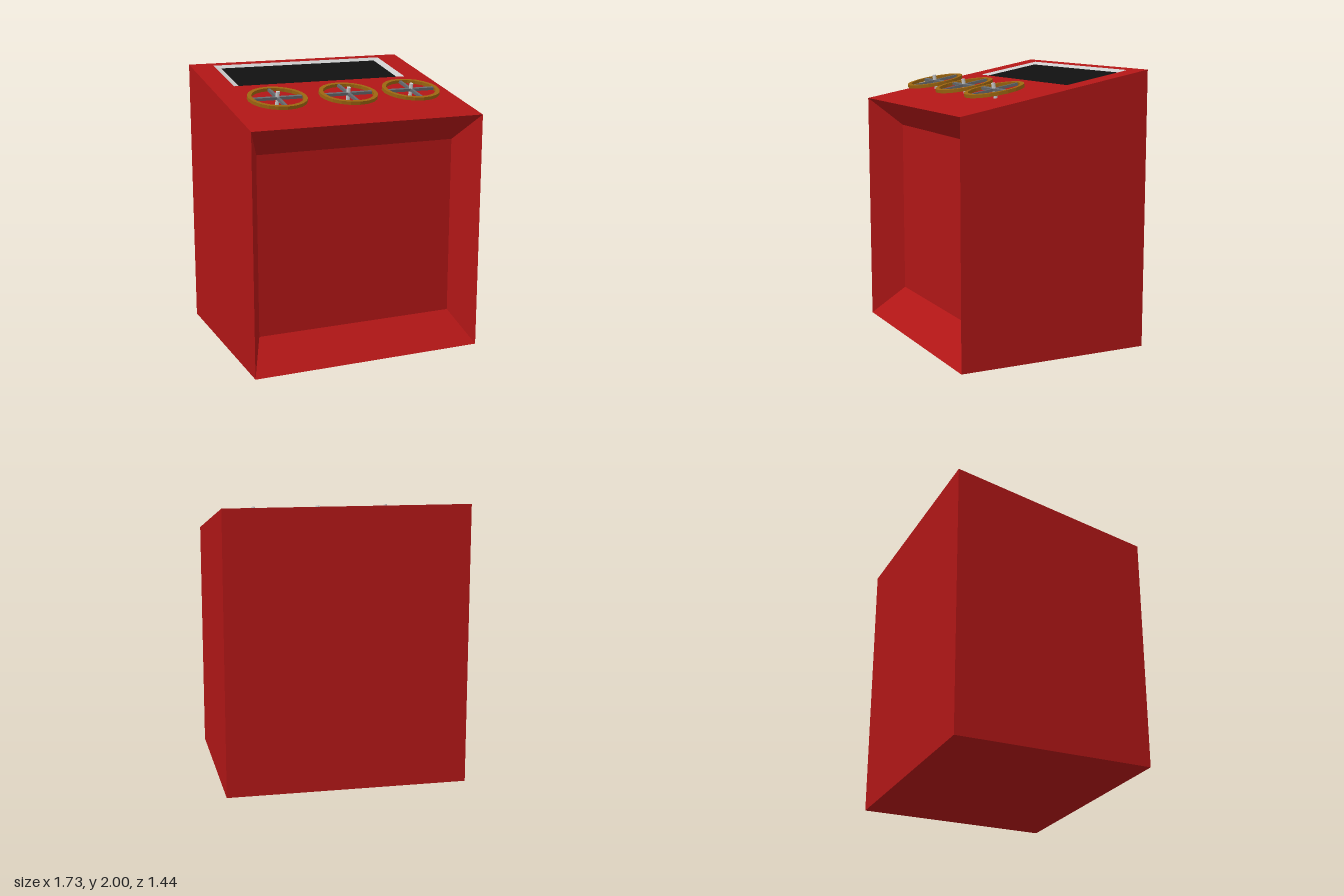
import * as THREE from 'three';

const W = 0.865, D = 0.72, FRONT_H = 1.73, BACK_H = 2;
const TILT = Math.atan((BACK_H - FRONT_H) / (2 * D));
const topY = z => FRONT_H + (D - z) * Math.tan(TILT);

const mat = color => new THREE.MeshStandardMaterial({ color, flatShading: true });
const red = mat(0xb01616), silver = mat(0xcccccc), black = mat(0x101010);
const brass = mat(0x9c6510), steel = mat(0x666a6e);

// Four corners, counter-clockwise as seen from the front of the surface
const frontRect = (x, y0, y1, z) => [[-x, y0, z], [x, y0, z], [x, y1, z], [-x, y1, z]];
const topRect = (x, zFront, zBack, drop = 0) => [[-x, zFront], [x, zFront], [x, zBack], [-x, zBack]]
  .map(([px, z]) => [px, topY(z) - drop, z]);

// Ring of quads joining an outer loop to an inner one
const band = (outer, inner) => outer.map((p, i) => {
  const j = (i + 1) % 4;
  return [p, outer[j], inner[j], inner[i]];
});

function quadMesh(name, quads, material) {
  const pos = quads.flatMap(([a, b, c, d]) => [a, b, c, a, c, d].flat());
  const geo = new THREE.BufferGeometry();
  geo.setAttribute('position', new THREE.Float32BufferAttribute(pos, 3));
  geo.computeVertexNormals();
  const mesh = new THREE.Mesh(geo, material);
  mesh.name = name;
  return mesh;
}

function part(name, geometry, material, y = 0) {
  const mesh = new THREE.Mesh(geometry, material);
  mesh.name = name;
  mesh.position.y = y;
  return mesh;
}

// Handwheel: flat rim, crossed spokes and a shaft standing on the panel
function handwheel(x) {
  const g = new THREE.Group();
  g.name = 'handwheel';
  const h = 0.012, height = 0.06;
  const profile = [[0.182, -h], [0.212, -h], [0.212, h], [0.182, h], [0.182, -h]]
    .map(([r, y]) => new THREE.Vector2(r, y));
  g.add(
    part('rim', new THREE.LatheGeometry(profile, 20), brass, height),
    part('crossSpoke', new THREE.BoxGeometry(0.37, 0.02, 0.026), steel, height),
    part('longSpoke', new THREE.BoxGeometry(0.02, 0.02, 0.37), steel, height),
    part('shaft', new THREE.CylinderGeometry(0.015, 0.015, 0.11, 8), silver, 0.052),
  );
  g.position.set(x, topY(0.285), 0.285);
  g.rotation.x = TILT;
  return g;
}

export function createModel() {
  const model = new THREE.Group();
  model.name = 'controlConsole';

  const front = frontRect(W, 0, FRONT_H, D);
  const back = frontRect(W, 0, BACK_H, -D);
  const recess = frontRect(0.75, 0.21, 1.52, 0.48);
  const panel = topRect(W, D, -D);
  const bezelOuter = topRect(0.688, -0.175, -0.665);
  const bezelInner = topRect(0.638, -0.21, -0.63, 0.013);

  // Cabinet with a sloping top and a splayed front recess
  model.add(quadMesh('cabinet', [
    [back[0], back[1], front[1], front[0]],
    [back[1], back[0], back[3], back[2]],
    [front[1], back[1], back[2], front[2]],
    [back[0], front[0], front[3], back[3]],
    ...band(front, recess), recess,
    ...band(panel, bezelOuter),
  ], red));

  // Sunken display
  model.add(quadMesh('screenBezel', band(bezelOuter, bezelInner), silver));
  model.add(quadMesh('screen', [bezelInner], black));

  for (const x of [-0.525, 0.01, 0.505]) model.add(handwheel(x));
  return model;
}
